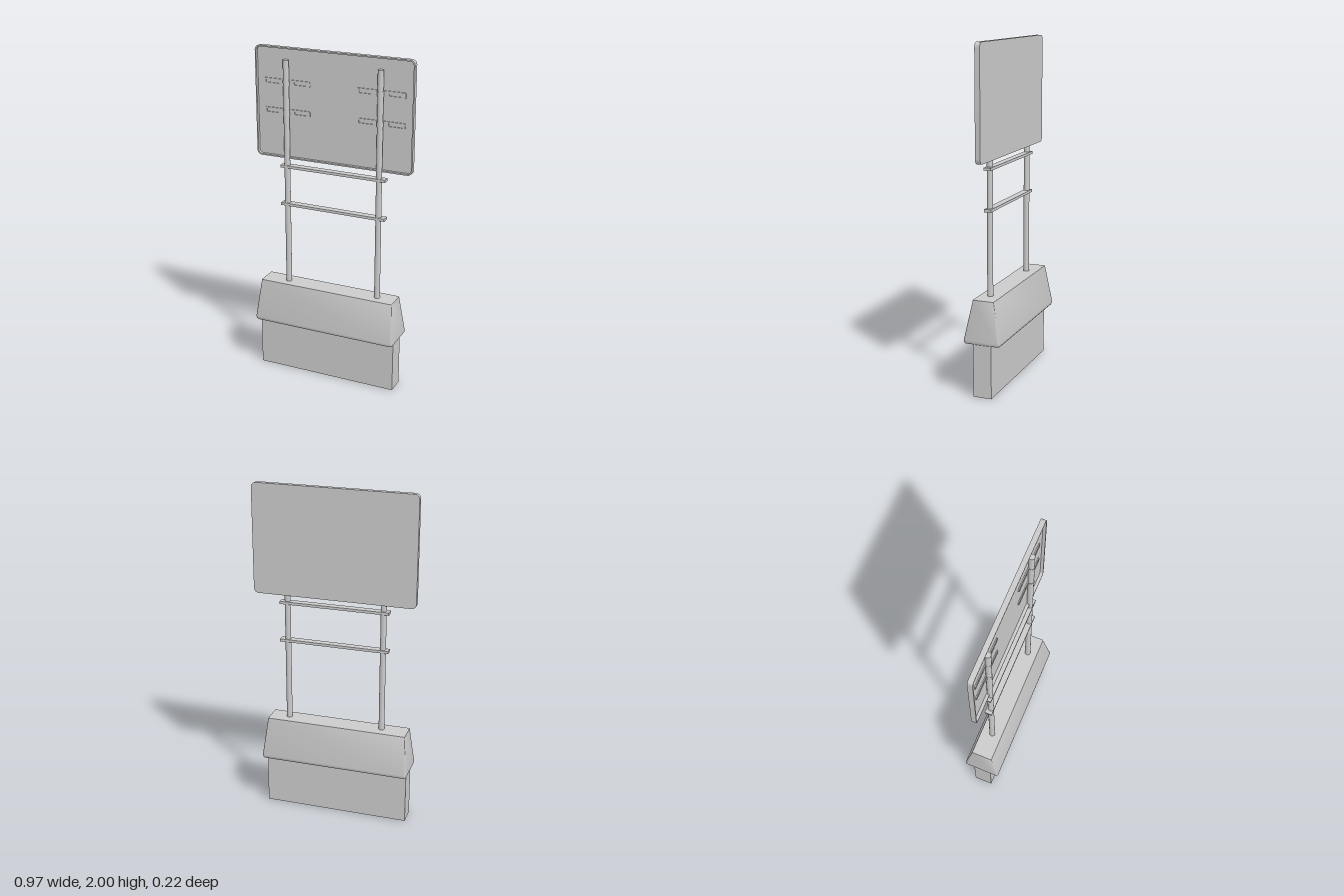
import * as THREE from 'three';
import { toCreasedNormals } from 'three/addons/utils/BufferGeometryUtils.js';

const material = new THREE.MeshStandardMaterial({ color: 0xcccccc, side: THREE.DoubleSide });

function add(parent, name, geometry, x = 0, y = 0, z = 0) {
  const mesh = new THREE.Mesh(geometry, material);
  mesh.name = name;
  mesh.position.set(x, y, z);
  parent.add(mesh);
  return mesh;
}

// Rounded rectangle centred on (cx, 0)
function roundedRect(w, h, r, Type = THREE.Shape, cx = 0) {
  const s = new Type(), x = w / 2, y = h / 2;
  s.absarc(cx + x - r, y - r, r, 0, Math.PI / 2);
  s.absarc(cx - x + r, y - r, r, Math.PI / 2, Math.PI);
  s.absarc(cx - x + r, -y + r, r, Math.PI, Math.PI * 1.5);
  s.absarc(cx + x - r, -y + r, r, Math.PI * 1.5, Math.PI * 2);
  s.closePath();
  return s;
}

function extrude(shape, depth) {
  const g = new THREE.ExtrudeGeometry(shape, { depth, bevelEnabled: false, curveSegments: 6 });
  return toCreasedNormals(g, 0.6);
}

// Closed loft through rounded rectangles; each ring is [y, x0, x1, z0, z1, radius]
function loft(rings) {
  const pos = [], index = [], seg = 4, n = 4 * (seg + 1);
  for (const [y, x0, x1, z0, z1, r] of rings) {
    const corners = [[x1 - r, z1 - r], [x0 + r, z1 - r], [x0 + r, z0 + r], [x1 - r, z0 + r]];
    corners.forEach(([cx, cz], q) => {
      for (let i = 0; i <= seg; i++) {
        const t = (q + i / seg) * Math.PI / 2;
        pos.push(cx + r * Math.cos(t), y, cz + r * Math.sin(t));
      }
    });
  }
  for (let k = 0; k < rings.length - 1; k++) {
    for (let i = 0; i < n; i++) {
      const a = k * n + i, b = k * n + (i + 1) % n;
      index.push(a, b + n, b, a, a + n, b + n);
    }
  }
  const top = (rings.length - 1) * n;
  for (let i = 1; i < n - 1; i++) {
    index.push(0, i, i + 1, top, top + i + 1, top + i);
  }
  const g = new THREE.BufferGeometry();
  g.setAttribute('position', new THREE.Float32BufferAttribute(pos, 3));
  g.setIndex(index);
  return toCreasedNormals(g, 0.6);
}

export function createModel() {
  const model = new THREE.Group();
  model.name = 'displayStand';

  // Pedestal and the flared hood that sits over it
  add(model, 'pedestal', new THREE.BoxGeometry(0.875, 0.33, 0.11), -0.0225, 0.165, 0);
  add(model, 'hood', loft([
    [0.312, -0.455, 0.412, -0.094, 0.094, 0.008],
    [0.315, -0.465, 0.422, -0.104, 0.104, 0.012],
    [0.323, -0.471, 0.428, -0.109, 0.109, 0.014],
    [0.336, -0.472, 0.429, -0.11, 0.11, 0.014],
    [0.568, -0.448, 0.402, -0.065, 0.061, 0.004],
  ]));

  // Twin posts
  const postX = [-0.29, 0.287], postZ = 0.002;
  for (const x of postX) {
    add(model, 'post', new THREE.CylinderGeometry(0.017, 0.017, 1.38, 24), x, 1.24, postZ);
  }

  // Cross shelves
  for (const y of [1.068, 1.302]) {
    add(model, 'crossBar', new THREE.BoxGeometry(0.656, 0.016, 0.042), 0.002, y, 0);
  }

  // Screen: a shallow tray open towards the posts
  const screen = new THREE.Group();
  screen.name = 'screen';
  screen.position.set(0, 1.675, 0);
  model.add(screen);
  add(screen, 'screenBack', extrude(roundedRect(0.968, 0.65, 0.028), 0.012), 0, 0, -0.025);
  const rim = roundedRect(0.968, 0.65, 0.028);
  rim.holes.push(roundedRect(0.952, 0.634, 0.022, THREE.Path));
  add(screen, 'screenRim', extrude(rim, 0.018), 0, 0, -0.013);

  // Slotted mounting brackets with a clamp around each post
  const plate = roundedRect(0.29, 0.034, 0.008);
  for (const cx of [-0.09, 0.09]) {
    plate.holes.push(roundedRect(0.085, 0.02, 0.006, THREE.Path, cx));
  }
  const plateGeometry = extrude(plate, 0.006);
  const clampGeometry = new THREE.CylinderGeometry(0.0185, 0.0185, 0.03, 24);
  for (const x of postX) {
    for (const y of [1.625, 1.797]) {
      add(model, 'bracket', plateGeometry, x, y, -0.013);
      add(model, 'clamp', clampGeometry, x, y, postZ);
    }
  }
  return model;
}
